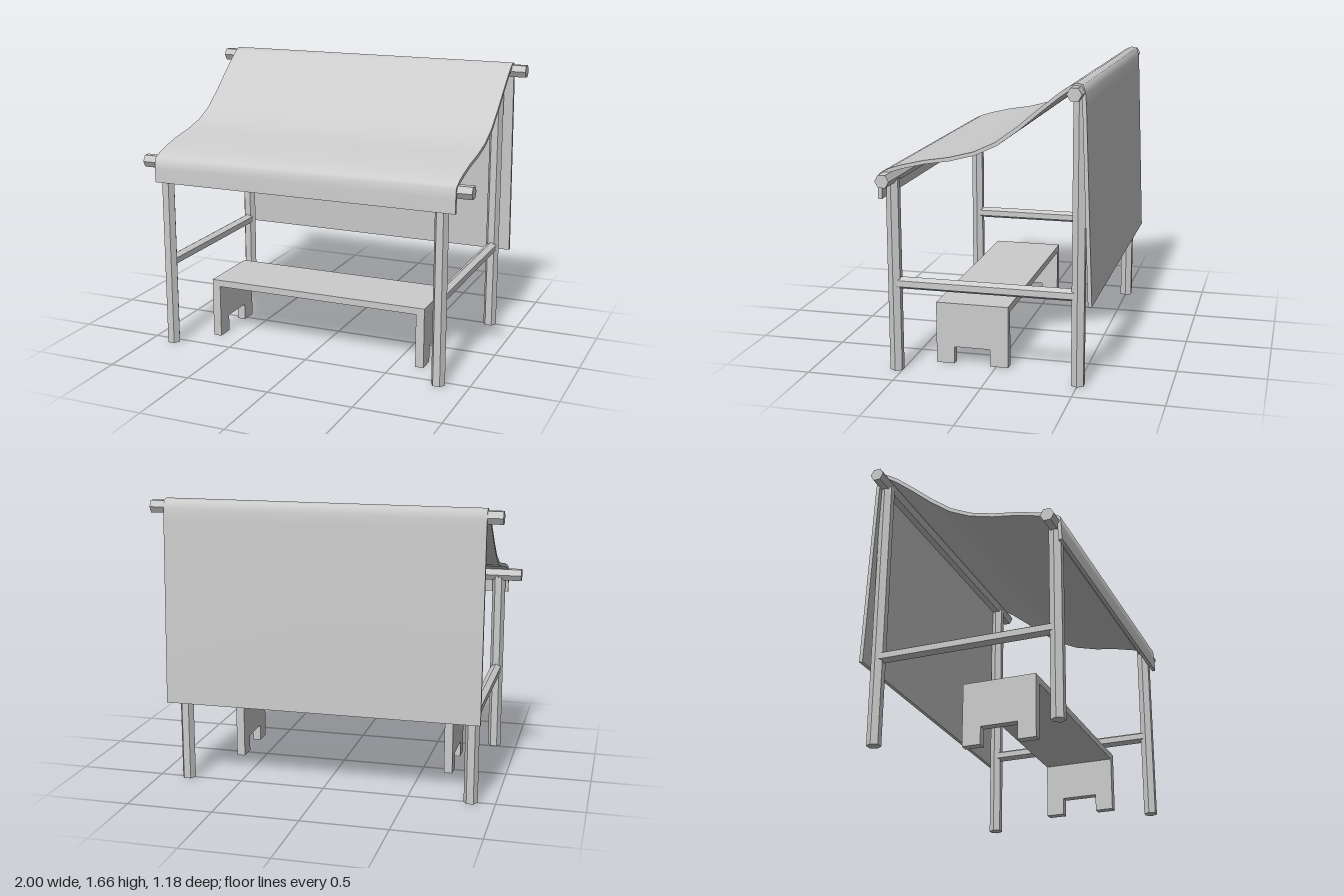
import * as THREE from 'three';
import { toCreasedNormals } from 'three/addons/utils/BufferGeometryUtils.js';

const grey = new THREE.MeshStandardMaterial({ color: 0xcccccc });
const POST_X = [-0.86, 0.825];
const FRONT_Z = 0.535, BACK_Z = -0.5;

export function createModel() {
  const model = new THREE.Group();

  const add = (name, geometry, x = 0, y = 0, z = 0) => {
    const mesh = new THREE.Mesh(geometry, grey);
    mesh.name = name;
    mesh.position.set(x, y, z);
    model.add(mesh);
    return mesh;
  };

  // Six-sided flat-faced timber along y, with corners on the x axis
  const timber = (r, length) =>
    toCreasedNormals(new THREE.CylinderGeometry(r, r, length, 6, 1, false, Math.PI / 6), 0.3);

  // Outline in (z, y), extruded across x and centred
  const acrossX = (shape, width) =>
    new THREE.ExtrudeGeometry(shape, { depth: width, bevelEnabled: false })
      .rotateY(-Math.PI / 2).translate(width / 2, 0, 0);

  // Posts and side rails
  for (const x of POST_X) {
    const side = x > 0 ? 'left' : 'right';
    add(side + 'FrontPost', timber(0.04, 1.1), x, 0.55, FRONT_Z);
    add(side + 'BackPost', timber(0.04, 1.6), x, 0.8, BACK_Z);
    const rail = timber(0.035, FRONT_Z - BACK_Z - 0.02).rotateZ(Math.PI / 2).rotateY(Math.PI / 2);
    add(side + 'Rail', rail, x, 0.509, (FRONT_Z + BACK_Z) / 2);
  }

  // Cross poles carrying the cloth, corners up and down
  const pole = () => timber(0.04, 2).rotateY(Math.PI / 2).rotateZ(Math.PI / 2);
  add('frontPole', pole(), 0, 1.114, FRONT_Z);
  add('backPole', pole(), 0, 1.612, BACK_Z);

  // Sagging cloth: outer line (z, y) from front hem over both poles to back hem
  const outer = [
    [0.588, 1.0], [0.585, 1.08], [0.58, 1.138], [0.565, 1.15], [0.52, 1.171], [0.455, 1.192],
    [0.327, 1.223], [0.19, 1.245], [0.055, 1.28], [-0.064, 1.336], [-0.182, 1.423],
    [-0.292, 1.517], [-0.402, 1.606], [-0.455, 1.642], [-0.494, 1.661], [-0.53, 1.652],
    [-0.543, 1.605], [-0.547, 1.54], [-0.588, 0.478],
  ].map(([z, y]) => new THREE.Vector2(z, y));
  const inner = outer.map((p, i) => {
    const t = outer[Math.min(i + 1, outer.length - 1)].clone().sub(outer[Math.max(i - 1, 0)]).normalize();
    return new THREE.Vector2(p.x - t.y * 0.021, p.y + t.x * 0.021);
  });
  const clothShape = new THREE.Shape([...outer, ...inner.reverse()]);
  add('cloth', toCreasedNormals(acrossX(clothShape, 1.83), 1.2));

  // Bench: plank on two end panels notched at the foot
  add('benchTop', new THREE.BoxGeometry(1.36, 0.04, 0.42), -0.005, 0.338, 0.14);
  const panel = new THREE.Shape([
    [-0.07, 0], [0.035, 0], [0.035, 0.1], [0.245, 0.1], [0.245, 0], [0.35, 0], [0.35, 0.32], [-0.07, 0.32],
  ].map(([z, y]) => new THREE.Vector2(z, y)));
  add('benchRightPanel', acrossX(panel, 0.05), -0.66);
  add('benchLeftPanel', acrossX(panel, 0.05), 0.65);

  return model;
}
